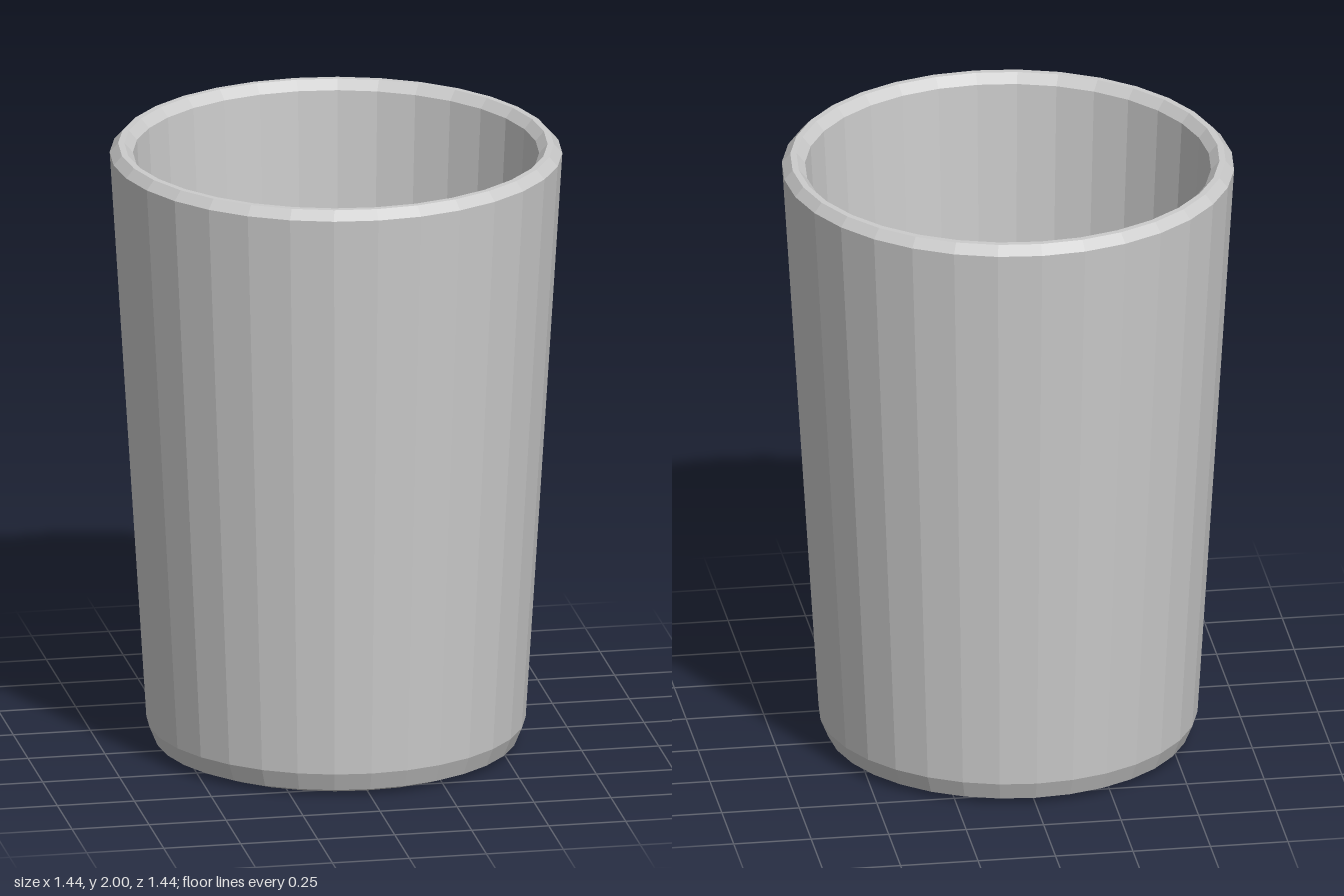
import * as THREE from 'three';

const SIDES = 32;

// Revolve a list of [radius, height] pairs into a faceted surface
function revolve(name, profile, material) {
  const points = profile.map(([r, y]) => new THREE.Vector2(r, y));
  const mesh = new THREE.Mesh(new THREE.LatheGeometry(points, SIDES), material);
  mesh.name = name;
  return mesh;
}

export function createModel() {
  const group = new THREE.Group();
  group.name = 'cup';
  const material = new THREE.MeshStandardMaterial({ color: 0xcccccc, flatShading: true });

  // Underside, bevelled foot and tapered outer wall
  group.add(revolve('outerWall', [[0, 0], [0.53, 0], [0.58, 0.02], [0.605, 0.08], [0.722, 1.97]], material));

  // Rim: outer bevel, flat lip, inner bevel
  group.add(revolve('rim', [[0.722, 1.97], [0.695, 2], [0.675, 2], [0.648, 1.97]], material));

  // Inner wall running down to a bevelled floor
  group.add(revolve('innerWall', [[0.648, 1.97], [0.549, 0.14], [0.518, 0.11], [0, 0.11]], material));

  return group;
}
